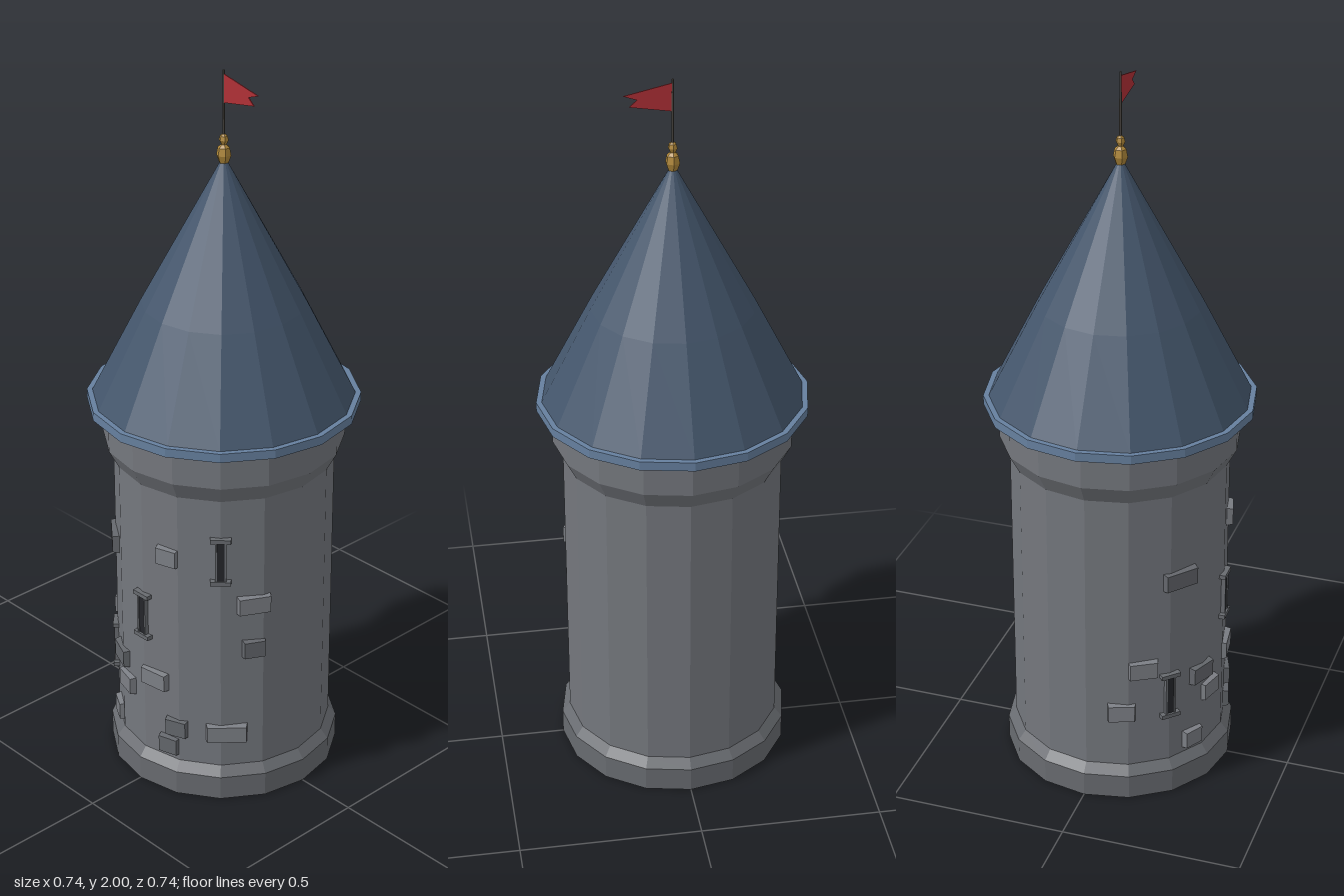
import * as THREE from 'three';

const mat = (color, side = THREE.FrontSide) => {
  const m = new THREE.MeshStandardMaterial({ color, side });
  m.flatShading = true;
  return m;
};
const STONE = mat(0x74777d), TRIM = mat(0x686b70), BRICK_A = mat(0x7c7f85), BRICK_B = mat(0x64676c);
const DARK = mat(0x24262a), ROOF = mat(0x44566c), EAVE = mat(0x66809f);
const GOLD = mat(0xb0883a), POLE = mat(0x55504a), FLAG = mat(0xb03036, THREE.DoubleSide);

function add(parent, name, geometry, material, x = 0, y = 0, z = 0) {
  const mesh = new THREE.Mesh(geometry, material);
  mesh.name = name;
  mesh.position.set(x, y, z);
  parent.add(mesh);
  return mesh;
}

// Sixteen-sided turned part from [radius, height] pairs, bottom to top
const turned = (profile, sides = 16) =>
  new THREE.LatheGeometry(profile.map(([r, y]) => new THREE.Vector2(r, y)), sides);

// Box whose outer (+z) face is slightly smaller, like a chipped stone
function stoneBox(w, h, d, inset = 0.004) {
  const g = new THREE.BoxGeometry(w, h, d);
  const p = g.attributes.position;
  for (let i = 0; i < p.count; i++) {
    if (p.getZ(i) > 0) {
      p.setX(i, p.getX(i) * (1 - 2 * inset / w));
      p.setY(i, p.getY(i) * (1 - 2 * inset / h));
    }
  }
  return g;
}

// Group placed on the wall at an angle from the front, facing outward
function onWall(parent, name, angle, y) {
  const g = new THREE.Group();
  g.name = name;
  g.position.set(Math.sin(angle) * 0.297, y, Math.cos(angle) * 0.297);
  g.rotation.y = angle;
  parent.add(g);
  return g;
}

export function createModel() {
  const tower = new THREE.Group();
  tower.name = 'tower';

  // Masonry: plinth, shaft, flared collar
  add(tower, 'plinth', turned([[0, 0], [0.322, 0], [0.322, 0.07], [0.3, 0.097]]), TRIM);
  add(tower, 'shaft', turned([[0.3, 0.07], [0.3, 0.94]]), STONE);
  add(tower, 'collar', turned([[0.298, 0.925], [0.327, 0.98], [0.327, 1.085]]), STONE);

  // Roof: eave ring and faceted cone
  add(tower, 'eave', turned([[0, 1.08], [0.368, 1.08], [0.368, 1.105], [0, 1.105]]), EAVE);
  add(tower, 'roof', turned([[0.354, 1.103], [0.219, 1.37], [0, 1.775]]), ROOF);

  // Raised stones: angle from the front, height, width
  const stones = [
    [-0.68, 0.67, 0.105], [0.285, 0.74, 0.068], [1.09, 0.61, 0.095], [1.09, 0.472, 0.066],
    [-1.04, 0.405, 0.085], [-1.24, 0.27, 0.08], [-0.41, 0.34, 0.085], [0.13, 0.34, 0.09],
    [-0.285, 0.27, 0.076], [0.365, 0.203, 0.068], [0.84, 0.203, 0.115],
    [-0.52, 0.14, 0.066], [0.285, 0.14, 0.064],
  ];
  stones.forEach(([angle, y, w], i) => {
    const g = onWall(tower, 'raisedStone', angle, y);
    add(g, 'stoneBlock', stoneBox(w, 0.056, 0.026), i % 3 === 0 ? BRICK_B : BRICK_A);
  });

  // Arrow slits: dark slot, narrow jambs, lintel and sill
  for (const [angle, y] of [[0, 0.53], [-Math.PI / 4, 0.31], [Math.PI / 4, 0.75]]) {
    const g = onWall(tower, 'arrowSlit', angle, y);
    add(g, 'slot', new THREE.BoxGeometry(0.02, 0.122, 0.018), DARK);
    for (const s of [-1, 1]) {
      add(g, 'jamb', new THREE.BoxGeometry(0.005, 0.122, 0.024), TRIM, s * 0.0125);
      add(g, s > 0 ? 'lintel' : 'sill', new THREE.BoxGeometry(0.056, 0.012, 0.03), TRIM, 0, s * 0.064);
    }
  }

  // Finial, pole and swallow-tailed flag
  add(tower, 'finial', turned([
    [0, 1.75], [0.013, 1.755], [0.02, 1.775], [0.016, 1.795], [0.007, 1.803],
    [0.013, 1.815], [0.01, 1.826], [0, 1.834],
  ], 6), GOLD);
  add(tower, 'flagPole', new THREE.CylinderGeometry(0.003, 0.004, 0.2, 6), POLE, 0, 1.9, 0);
  const pennant = new THREE.Shape([
    [0, 1.914], [0.11, 1.932], [0.09, 1.95], [0.125, 1.962], [0, 1.99],
  ].map(([x, y]) => new THREE.Vector2(x, y)));
  add(tower, 'flag', new THREE.ExtrudeGeometry(pennant, { depth: 0.003, bevelEnabled: false }), FLAG, 0, 0, -0.0015);

  return tower;
}
